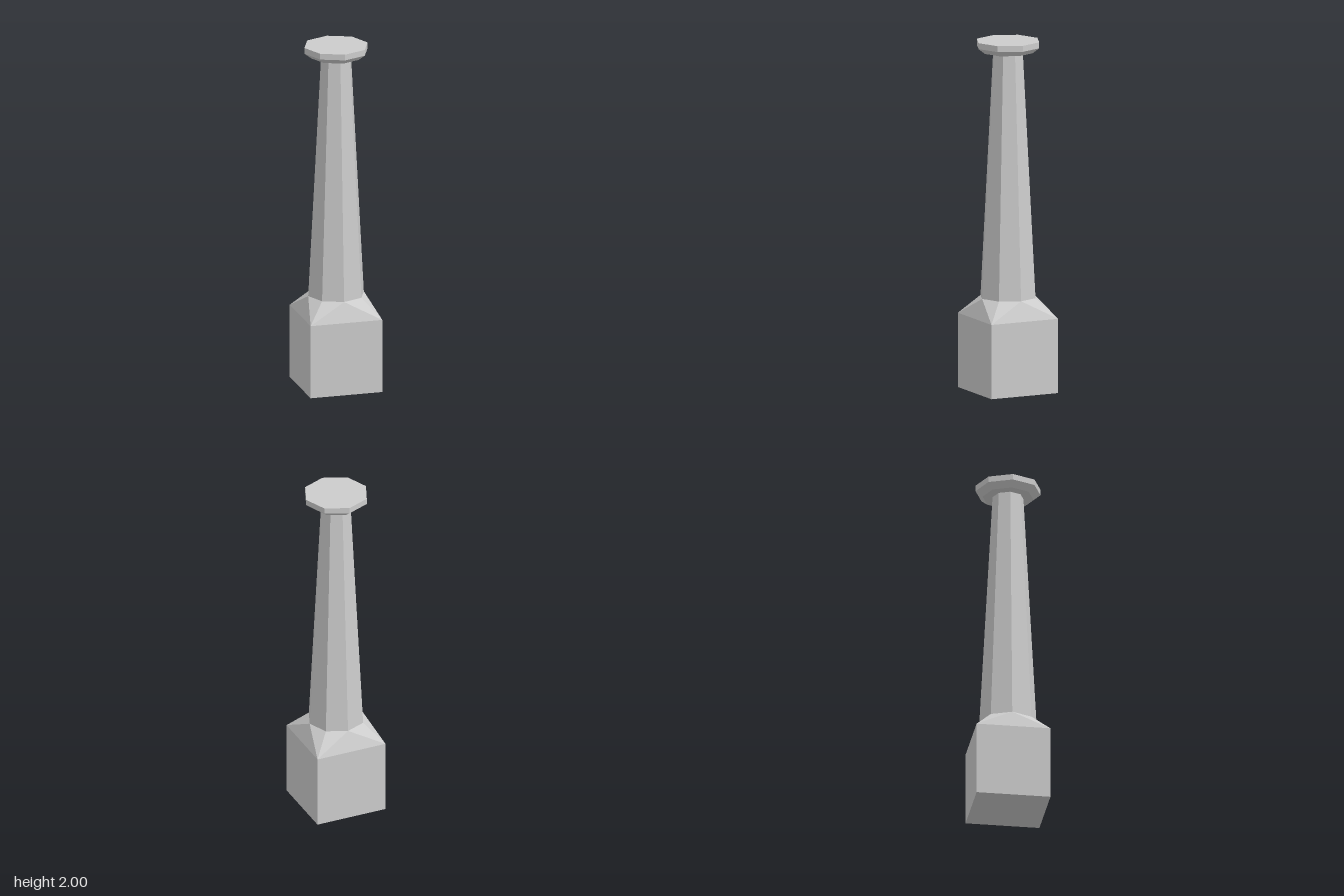
import * as THREE from 'three';
import { ConvexGeometry } from 'three/addons/geometries/ConvexGeometry.js';

const SIDES = 8;

export function createModel() {
  const group = new THREE.Group();
  group.name = 'pillar';
  const material = new THREE.MeshStandardMaterial({ color: 0xcccccc, flatShading: true });

  const add = (name, geometry, y = 0) => {
    const mesh = new THREE.Mesh(geometry, material);
    mesh.name = name;
    mesh.position.y = y;
    group.add(mesh);
  };
  // Octagonal section between two heights, with corners on the x and z axes
  const addSection = (name, y0, y1, r0, r1, open = false) =>
    add(name, new THREE.CylinderGeometry(r1, r0, y1 - y0, SIDES, 1, open), (y0 + y1) / 2);

  // Square block whose shoulder narrows to the octagon under the shaft
  const half = 0.21, blockTop = 0.425, shaftBottom = 0.535, shaftRadius = 0.163;
  const points = [];
  for (const x of [-half, half])
    for (const z of [-half, half])
      for (const y of [0, blockTop]) points.push(new THREE.Vector3(x, y, z));
  for (let i = 0; i < SIDES; i++) {
    const a = (i / SIDES) * Math.PI * 2;
    points.push(new THREE.Vector3(Math.sin(a) * shaftRadius, shaftBottom, Math.cos(a) * shaftRadius));
  }
  add('base', new ConvexGeometry(points));

  // Tapering shaft
  addSection('shaft', shaftBottom, 1.935, shaftRadius, 0.088, true);

  // Capital: bevelled underside and flat slab
  addSection('capitalBevel', 1.935, 1.966, 0.145, 0.185);
  addSection('capitalSlab', 1.966, 2, 0.185, 0.185);

  return group;
}
